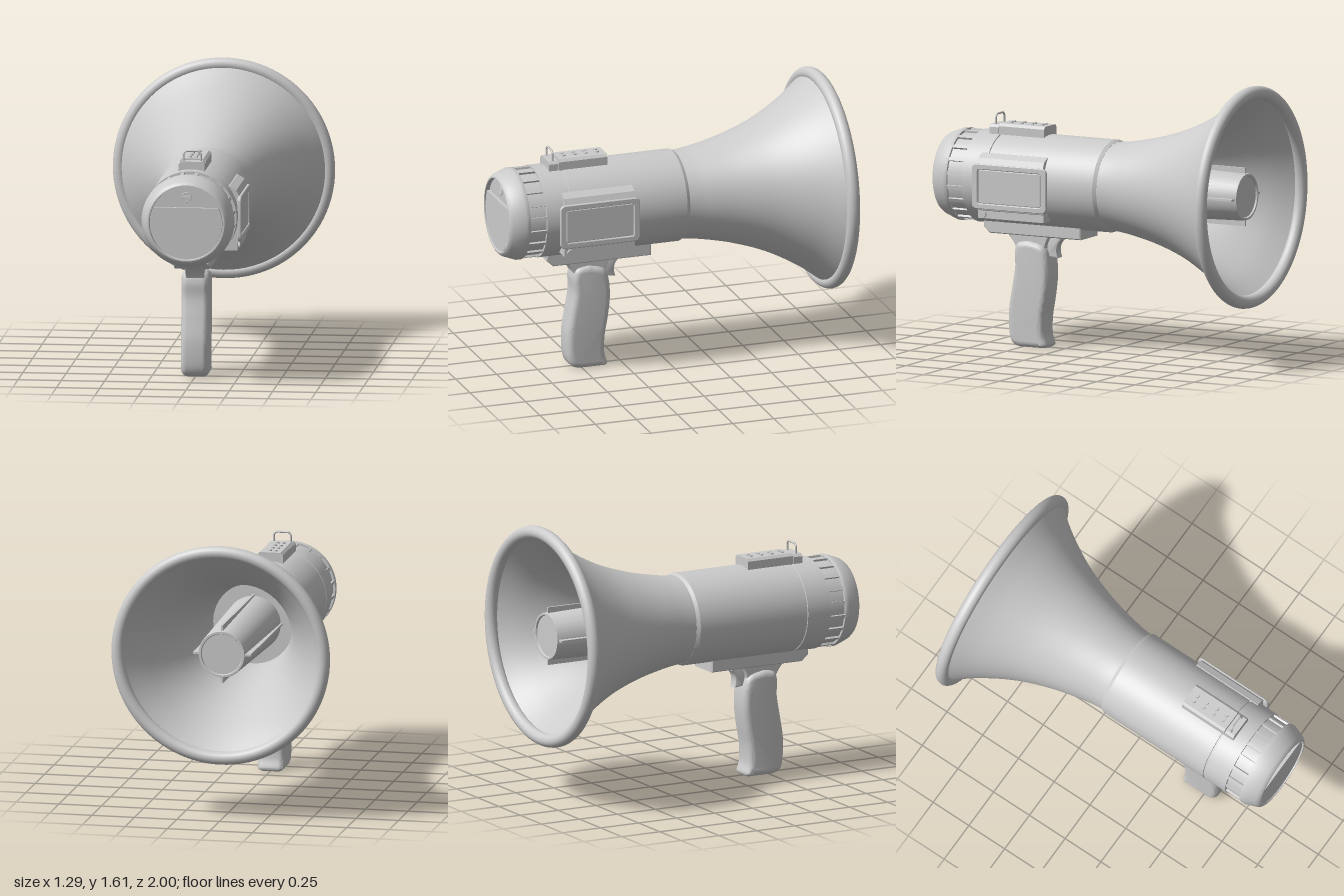
import * as THREE from 'three';
import { toCreasedNormals } from 'three/addons/utils/BufferGeometryUtils.js';
import { RoundedBoxGeometry } from 'three/addons/geometries/RoundedBoxGeometry.js';

const AXIS = 0.98; // height of the horn's centre line
const mat = new THREE.MeshStandardMaterial({ color: 0xcccccc });
const vecs = (pts) => pts.map(([a, b]) => new THREE.Vector2(a, b));

function add(parent, name, geo, x = 0, y = 0, z = 0) {
  const mesh = new THREE.Mesh(geo, mat);
  mesh.name = name;
  mesh.position.set(x, y, z);
  parent.add(mesh);
  return mesh;
}

// Turned part along z from [radius, z] points
function turned(pts, crease = 0.45) {
  const geo = new THREE.LatheGeometry(vecs(pts), 80).rotateX(Math.PI / 2);
  return toCreasedNormals(geo, crease);
}

// Shape drawn in (z, y), extruded across x and centred on x = 0
function sideways(shape, width, bevel = 0, segments = 1) {
  const geo = new THREE.ExtrudeGeometry(shape, {
    depth: width - 2 * bevel, bevelEnabled: bevel > 0, bevelSize: bevel,
    bevelThickness: bevel, bevelOffset: -bevel, bevelSegments: segments, curveSegments: 8,
  });
  geo.translate(0, 0, bevel - width / 2).rotateY(-Math.PI / 2);
  return toCreasedNormals(geo, 0.6);
}

function roundedRect(x0, y0, x1, y1, r, Type = THREE.Shape) {
  const s = new Type();
  s.moveTo(x0 + r, y0);
  s.lineTo(x1 - r, y0);
  s.absarc(x1 - r, y0 + r, r, -Math.PI / 2, 0);
  s.absarc(x1 - r, y1 - r, r, 0, Math.PI / 2);
  s.absarc(x0 + r, y1 - r, r, Math.PI / 2, Math.PI);
  s.absarc(x0 + r, y0 + r, r, Math.PI, Math.PI * 1.5);
  return s;
}

// Horn, rim and the driver tube inside
function addHorn(group) {
  const flare = new THREE.SplineCurve(vecs([
    [0.61, -0.955], [0.5, -0.81], [0.39, -0.61], [0.315, -0.4], [0.27, -0.2], [0.255, -0.08],
  ])).getPoints(32).map((p) => [p.x, p.y]);
  const inside = flare.map(([r, z]) => [r - 0.018, z - 0.008]).reverse();
  add(group, 'horn', turned([[0, -0.088], ...inside, ...flare]));
  add(group, 'hornRim', new THREE.TorusGeometry(0.605, 0.038, 20, 96), 0, 0, -0.962);

  add(group, 'driverTube', turned([
    [0, -0.93], [0.118, -0.93], [0.122, -0.94], [0.134, -0.94], [0.137, -0.93], [0.16, -0.08],
  ]));
  for (let i = 0; i < 4; i++) {
    const fin = add(group, 'driverFin', new THREE.BoxGeometry(0.05, 0.012, 0.84).translate(0.145, 0, -0.51));
    fin.rotation.z = i * Math.PI / 2;
  }
}

// Barrel, ribbed ring and end cap
function addBody(group) {
  add(group, 'barrel', turned([
    [0.2, -0.09], [0.257, -0.09], [0.268, -0.07], [0.268, 0.628], [0.263, 0.63],
    [0.263, 0.636], [0.268, 0.638], [0.268, 0.785], [0.2, 0.785],
  ]));
  add(group, 'ribbedRing', turned([[0.252, 0.775], [0.252, 0.895]]));
  const ribs = 20;
  for (let i = 0; i < ribs; i++) {
    const rib = add(group, 'ringRib', new THREE.BoxGeometry(0.02, 0.02, 0.11).translate(0.254, 0, 0.835));
    rib.rotation.z = ((i + 0.5) / ribs) * Math.PI * 2;
  }
  add(group, 'endCap', turned([
    [0.2, 0.885], [0.266, 0.885], [0.268, 0.89], [0.268, 0.91], [0.242, 0.98], [0.232, 0.994],
    [0.222, 1], [0.215, 1], [0.213, 0.975], [0, 0.975],
  ]));

  // Round cover, cut straight across its upper part
  const cover = new THREE.Shape();
  const cut = Math.asin(0.09 / 0.207);
  cover.absarc(0, 0, 0.207, Math.PI - cut, Math.PI * 2 + cut, false);
  add(group, 'endCover', toCreasedNormals(new THREE.ExtrudeGeometry(cover, {
    depth: 0.02, bevelEnabled: false, curveSegments: 60,
  }), 0.5), 0, 0, 0.974);

  // Little slotted grille
  add(group, 'grilleRing', new THREE.TorusGeometry(0.027, 0.003, 8, 32), 0, 0.15, 0.976);
  for (let i = -2; i <= 2; i++) {
    const y = i * 0.0095;
    const width = 2 * Math.sqrt(0.027 ** 2 - y * y);
    add(group, 'grilleSlat', new THREE.BoxGeometry(width, 0.005, 0.008), 0, 0.15 + y, 0.976);
  }
}

// Control panel, buttons and strap loop on top
function addControls(group) {
  const panel = new THREE.Shape(vecs([
    [-0.075, 1.2], [0.075, 1.2], [0.075, 1.285], [0.06, 1.3], [-0.06, 1.3], [-0.075, 1.285],
  ]));
  const block = (depth) => new THREE.ExtrudeGeometry(panel, { depth, bevelEnabled: false });
  add(group, 'controlPanel', block(0.295), 0, 0, 0.35);
  add(group, 'strapMount', block(0.06), 0, -0.008, 0.648);
  for (let row = 0; row < 4; row++) {
    for (const x of [-0.022, 0.012]) {
      add(group, 'button', new THREE.CylinderGeometry(0.012, 0.014, 0.012, 20), x, 1.302, 0.395 + row * 0.068);
    }
  }
  const loop = new THREE.CurvePath();
  const corners = [[-0.05, 1.27], [-0.05, 1.335], [-0.035, 1.35], [0.035, 1.35], [0.05, 1.335], [0.05, 1.27]]
    .map(([x, y]) => new THREE.Vector3(x, y, 0.678));
  for (let i = 1; i < corners.length; i++) loop.add(new THREE.LineCurve3(corners[i - 1], corners[i]));
  add(group, 'strapLoop', new THREE.TubeGeometry(loop, 48, 0.006, 10));
}

// Box with a framed lid on the side
function addSideBox(group) {
  const profile = new THREE.Shape(vecs([
    [0.12, 0.775], [0.262, 0.775], [0.262, 0.82], [0.272, 0.825], [0.272, 1.09], [0.255, 1.125],
    [0.215, 1.148], [0.12, 1.148],
  ]));
  add(group, 'sideBox', new THREE.ExtrudeGeometry(profile, { depth: 0.43, bevelEnabled: false }), 0, 0, 0.25);
  const frame = roundedRect(0.225, 0.83, 0.71, 1.092, 0.03);
  frame.holes.push(roundedRect(0.262, 0.862, 0.672, 1.06, 0.012, THREE.Path));
  add(group, 'lidFrame', sideways(frame, 0.02, 0.004), 0.275, 0, 0);
  add(group, 'lidPanel', new RoundedBoxGeometry(0.014, 0.194, 0.406, 2, 0.004), 0.273, 0.961, 0.467);
  add(group, 'lidKnob', new THREE.CylinderGeometry(0.018, 0.02, 0.02, 24).rotateZ(-Math.PI / 2), 0.263, 0.798, 0.643);
}

// Mounting plate, neck, trigger and handle
function addGrip(group) {
  const plate = new THREE.Shape(vecs([
    [0.095, 0.665], [0.69, 0.665], [0.73, 0.7], [0.73, 0.74], [0.095, 0.74],
  ]));
  add(group, 'gripPlate', sideways(plate, 0.21, 0.006));

  const neck = new THREE.Shape();
  neck.moveTo(0.64, 0.68);
  neck.quadraticCurveTo(0.57, 0.655, 0.54, 0.57);
  neck.lineTo(0.36, 0.57);
  neck.quadraticCurveTo(0.35, 0.64, 0.31, 0.68);
  add(group, 'gripNeck', sideways(neck, 0.11, 0.006));

  const trigger = new THREE.Shape();
  trigger.moveTo(0.36, 0.68);
  trigger.lineTo(0.352, 0.545);
  trigger.lineTo(0.285, 0.537);
  trigger.quadraticCurveTo(0.31, 0.6, 0.268, 0.64);
  trigger.lineTo(0.265, 0.68);
  add(group, 'trigger', sideways(trigger, 0.06, 0.006, 2));

  const handle = new THREE.Shape();
  handle.moveTo(0.46, 0.63);
  handle.splineThru(vecs([
    [0.53, 0.615], [0.552, 0.56], [0.55, 0.47], [0.57, 0.35], [0.59, 0.22], [0.587, 0.09],
    [0.565, 0.03], [0.52, 0.01],
  ]));
  handle.lineTo(0.36, 0.01);
  handle.splineThru(vecs([
    [0.345, 0.028], [0.362, 0.09], [0.36, 0.19], [0.34, 0.31], [0.328, 0.43], [0.337, 0.54],
    [0.37, 0.605], [0.46, 0.63],
  ]));
  add(group, 'handle', sideways(handle, 0.16, 0.035, 6));
}

export function createModel() {
  const model = new THREE.Group();
  model.name = 'megaphone';
  const barrel = new THREE.Group();
  barrel.name = 'hornAndBody';
  barrel.position.y = AXIS;
  model.add(barrel);
  addHorn(barrel);
  addBody(barrel);
  addControls(model);
  addSideBox(model);
  addGrip(model);
  // Stand on the ground
  model.position.y = -new THREE.Box3().setFromObject(model).min.y;
  return model;
}
